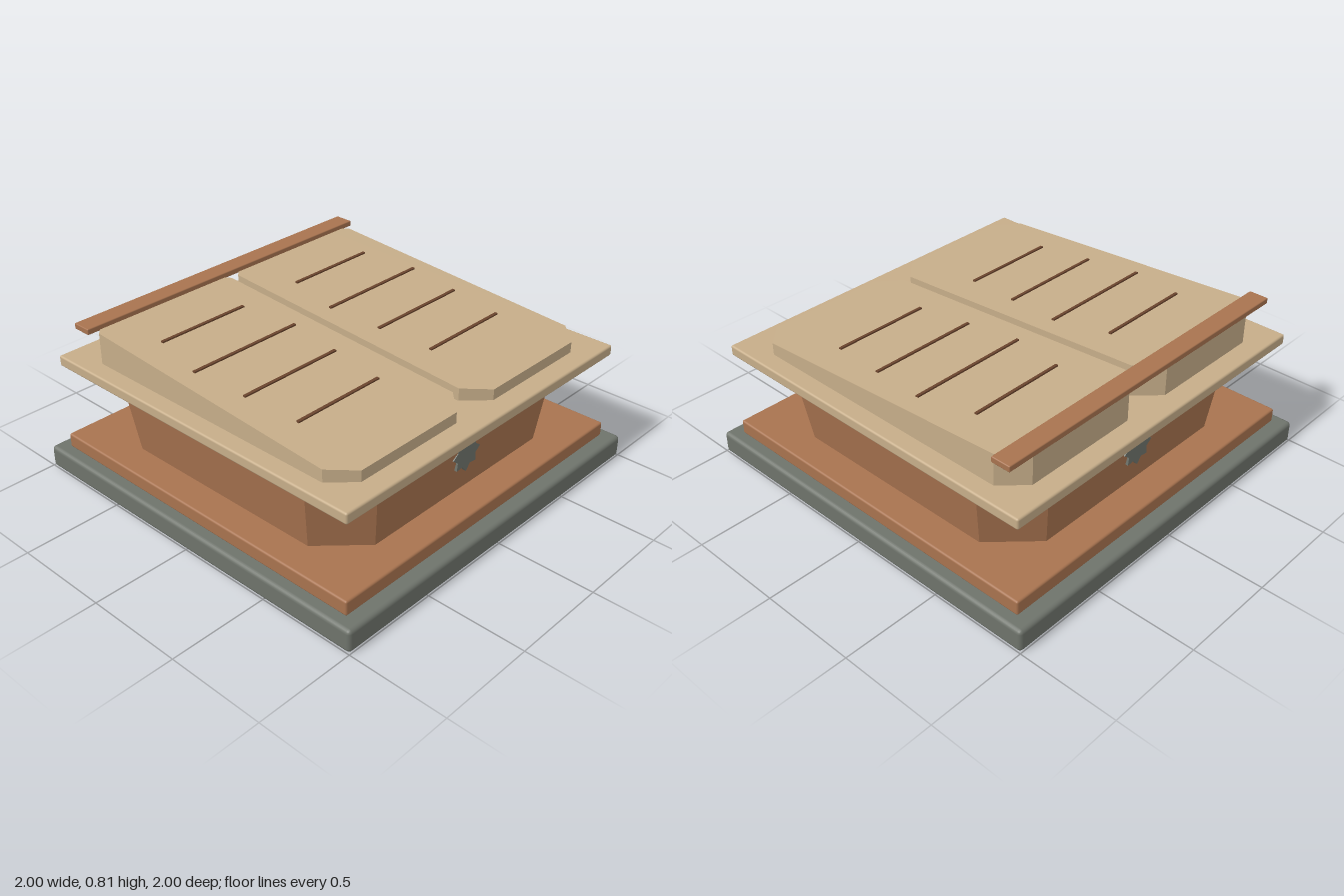
import * as THREE from 'three';
import { RoundedBoxGeometry } from 'three/addons/geometries/RoundedBoxGeometry.js';

const material = (name, color) => {
  const m = new THREE.MeshStandardMaterial({ color });
  m.name = name;
  return m;
};

// Upright prism with cut corners; shapeTop(x, z) gives the new place of each top corner
function cutCornerPrism(hx, hz, cx, cz, y0, shapeTop) {
  const shape = new THREE.Shape([
    [hx, -hz + cz], [hx, hz - cz], [hx - cx, hz], [-hx + cx, hz],
    [-hx, hz - cz], [-hx, -hz + cz], [-hx + cx, -hz], [hx - cx, -hz],
  ].map(([x, y]) => new THREE.Vector2(x, y)));
  const g = new THREE.ExtrudeGeometry(shape, { depth: 1, bevelEnabled: false });
  g.rotateX(-Math.PI / 2);
  const p = g.attributes.position;
  for (let i = 0; i < p.count; i++) {
    if (p.getY(i) > 0.5) p.setXYZ(i, ...shapeTop(p.getX(i), p.getZ(i)));
    else p.setY(i, y0);
  }
  g.computeVertexNormals();
  return g;
}

export function createModel() {
  const model = new THREE.Group();
  model.name = 'bookPedestal';
  const stone = material('grey stone', 0x6e736b);
  const clay = material('terracotta', 0xa8734f);
  const sand = material('sand', 0xc6ad89);
  const ink = material('dark brown', 0x6b452e);

  const add = (name, geometry, mat, x = 0, y = 0, z = 0, parent = model) => {
    const mesh = new THREE.Mesh(geometry, mat);
    mesh.name = name;
    mesh.position.set(x, y, z);
    parent.add(mesh);
    return mesh;
  };
  const slab = (name, w, d, y0, y1, r, mat, z = 0) =>
    add(name, new RoundedBoxGeometry(w, y1 - y0, d, 2, r), mat, 0, (y0 + y1) / 2, z);

  // Stacked slabs
  slab('base', 2, 2, 0, 0.115, 0.02, stone);
  slab('plinth', 1.876, 1.85, 0.115, 0.19, 0.01, clay);
  slab('tableTop', 1.876, 1.85, 0.57, 0.625, 0.01, sand);
  slab('backRail', 1.78, 0.1, 0.78, 0.81, 0.005, clay, -0.786);

  // Flared body
  add('body', cutCornerPrism(0.78, 0.76, 0.203, 0.205, 0.19,
    (x, z) => [x * 1.071, 0.57, z * 1.06]), clay);

  // Eight-pointed emblems, front and back, half sunk in the flaring wall
  const star = new THREE.Shape();
  for (let i = 0; i < 16; i++) {
    const r = i % 2 ? 0.068 : 0.096;
    const a = i * Math.PI / 8;
    star[i ? 'lineTo' : 'moveTo'](r * Math.cos(a), r * Math.sin(a));
  }
  const starGeometry = new THREE.ExtrudeGeometry(star, { depth: 0.03, bevelEnabled: false });
  add('frontEmblem', starGeometry, stone, 0, 0.395, 0.761);
  add('backEmblem', starGeometry, stone, 0, 0.395, -0.761).rotation.y = Math.PI;

  // Sloping pages with lines of writing
  const slope = 0.068;
  const pageY = (z) => 0.68 + (0.82 - z) * slope;
  const halfLengths = [0.253, 0.315, 0.285, 0.253];
  for (const side of [-1, 1]) {
    const page = new THREE.Group();
    page.name = side > 0 ? 'leftPage' : 'rightPage';
    page.position.x = side * 0.435;
    model.add(page);
    add('pageBlock', cutCornerPrism(0.413, 0.82, 0.11, 0.11, 0.62,
      (x, z) => [x, pageY(z), z]), sand, 0, 0, 0, page);
    halfLengths.forEach((h, i) => {
      const z = -0.455 + i * 0.29;
      const line = add('writingLine', new THREE.BoxGeometry(h * 2, 0.009, 0.015), ink,
        0, pageY(z) + 0.003, z, page);
      line.rotation.x = Math.atan(slope);
    });
  }
  return model;
}
